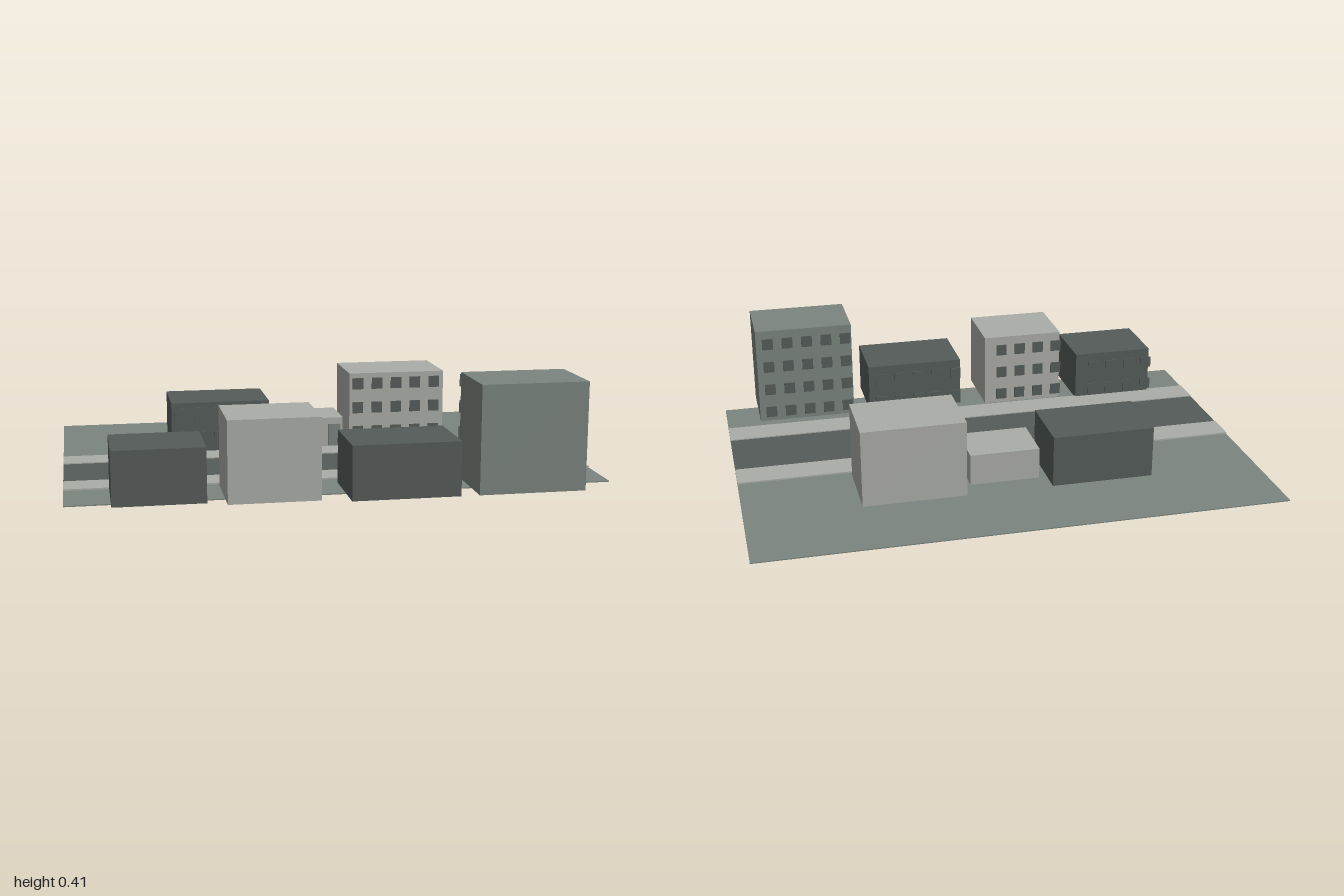
import * as THREE from 'three';

export function createModel() {
  const root = new THREE.Group();
  root.name = 'streetBlock';
  const mat = (name, color) => {
    const m = new THREE.MeshStandardMaterial({ color });
    m.name = name;
    return m;
  };
  const green = mat('greyGreen', 0x7b857f);
  const dark = mat('darkSlate', 0x555c59);
  const light = mat('paleStone', 0xabada7);

  // Box given by its limits on each axis
  function box(name, material, x0, x1, y0, y1, z0, z1, parent = root) {
    const mesh = new THREE.Mesh(new THREE.BoxGeometry(x1 - x0, y1 - y0, z1 - z0), material);
    mesh.position.set((x0 + x1) / 2, (y0 + y1) / 2, (z0 + z1) / 2);
    mesh.name = name;
    parent.add(mesh);
    return mesh;
  }

  // Ground, road and pavements
  const base = 0.004;
  box('ground', green, -1, 1, 0, base, -0.73, 0.605);
  box('road', dark, -1, 1, base, 0.006, 0, 0.28);
  box('backPavement', light, -1, 1, base, 0.01, -0.12, 0);
  box('frontPavement', light, -1, 1, base, 0.01, 0.28, 0.4);

  // Building with a grid of window plates standing just off its street side
  function building(name, material, x0, x1, z0, z1, floors, columns, windowZ) {
    const group = new THREE.Group();
    group.name = name;
    root.add(group);
    box('walls', material, x0, x1, base, 0.005 + floors * 0.1, z0, z1, group);
    for (let f = 0; f < floors; f++) {
      for (let c = 0; c < columns; c++) {
        const x = x0 + 0.032 + c * 0.08;
        const y = 0.065 + f * 0.1;
        box('window', dark, x - 0.022, x + 0.022, y - 0.023, y + 0.023,
          windowZ - 0.002, windowZ + 0.002, group);
      }
    }
  }

  // Front row, windows towards the road
  building('lowDarkHouse', dark, -0.835, -0.503, 0.39, 0.655, 2, 4, 0.338);
  building('paleHouse', light, -0.435, -0.103, 0.422, 0.69, 3, 4, 0.371);
  building('wideDarkHouse', dark, 0, 0.397, 0.454, 0.722, 2, 5, 0.404);
  building('tallHouse', green, 0.465, 0.862, 0.454, 0.722, 4, 5, 0.404);

  // Back row
  building('backDarkHouse', dark, -0.567, -0.17, -0.412, -0.143, 2, 5, -0.123);
  building('backPaleHouse', light, 0.165, 0.562, -0.412, -0.143, 3, 5, -0.123);

  // Small shop with glazed front
  const shop = new THREE.Group();
  shop.name = 'shop';
  root.add(shop);
  box('walls', light, -0.138, 0.134, base, 0.127, -0.33, -0.127, shop);
  box('fascia', light, -0.138, 0.134, 0.105, 0.127, -0.127, -0.125, shop);
  box('shopWindow', green, -0.125, -0.018, 0.035, 0.1, -0.127, -0.122, shop);
  box('shopWindowBar', dark, -0.074, -0.07, 0.035, 0.1, -0.122, -0.121, shop);
  box('shopWindowSill', dark, -0.125, -0.018, 0.032, 0.035, -0.127, -0.121, shop);
  box('shopDoor', green, 0.073, 0.125, 0.01, 0.1, -0.127, -0.122, shop);

  // Little board on the pavement
  box('pavementBoard', dark, -0.173, -0.127, 0.01, 0.037, -0.084, -0.078);

  return root;
}
